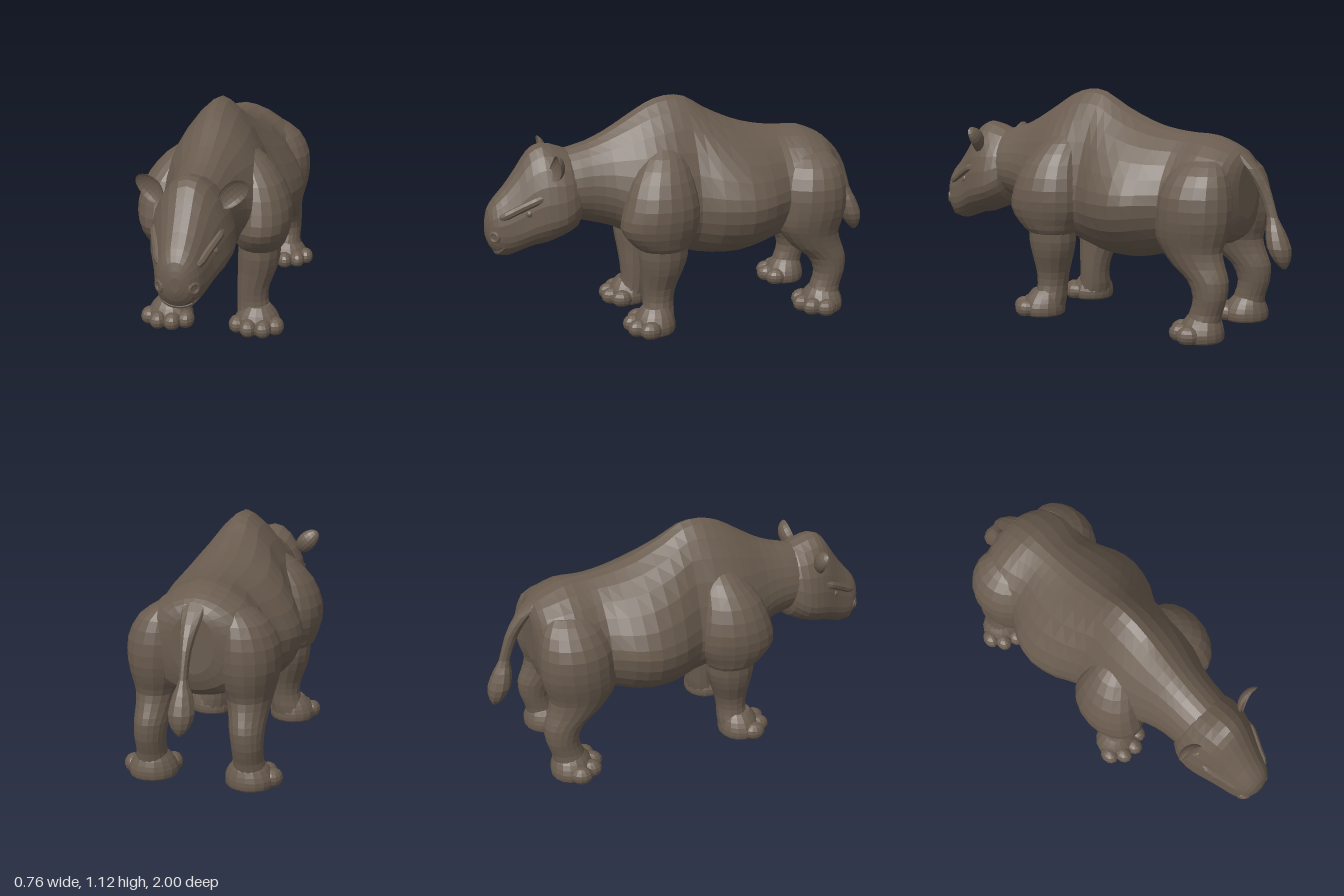
import * as THREE from 'three';

const hide = new THREE.MeshStandardMaterial({ color: 0x6a5c4f });
hide.name = 'brownHide';

function part(parent, name, geometry) {
  const flat = geometry.index ? geometry.toNonIndexed() : geometry;
  flat.computeVertexNormals(); // faceted surface
  const mesh = new THREE.Mesh(flat, hide);
  mesh.name = name;
  parent.add(mesh);
  return mesh;
}

// Doubles the rows of a section table along a Catmull-Rom curve
function refine(rows) {
  const out = [];
  rows.forEach((b, i) => {
    out.push(b);
    const c = rows[i + 1];
    if (!c) return;
    const a = rows[i - 1] || b, d = rows[i + 2] || c;
    out.push(b.map((v, k) => (9 * (v + c[k]) - a[k] - d[k]) / 16));
  });
  return out;
}

// Skins closed rings of points and caps both ends
function skin(rings) {
  const pos = [], idx = [], n = rings[0].length;
  rings.forEach(r => r.forEach(p => pos.push(...p)));
  for (let i = 0; i < rings.length - 1; i++)
    for (let j = 0; j < n; j++) {
      const k = (j + 1) % n, a = i * n + j, b = i * n + k;
      idx.push(a, b, b + n, a, b + n, a + n);
    }
  [0, rings.length - 1].forEach((i, end) => {
    const c = pos.length / 3;
    pos.push(...[0, 1, 2].map(q => rings[i].reduce((s, p) => s + p[q], 0) / n));
    for (let j = 0; j < n; j++) {
      const a = i * n + j, b = i * n + (j + 1) % n;
      idx.push(c, ...(end ? [a, b] : [b, a]));
    }
  });
  const g = new THREE.BufferGeometry();
  g.setAttribute('position', new THREE.Float32BufferAttribute(pos, 3));
  g.setIndex(idx);
  return g;
}

const around = n => Array.from({ length: n }, (_, j) => (j / n) * Math.PI * 2);
const pow = (v, e) => Math.sign(v) * Math.abs(v) ** e;

// Rows from back to front: z, top, bottom, height of widest point, half width, roundness
function loftZ(rows, sides) {
  return skin(refine(rows).map(([z, top, bottom, mid, w, n]) => around(sides).map(a => {
    const c = Math.cos(a), s = Math.sin(a);
    return s > 0
      ? [w * pow(c, 2 / n), mid + (top - mid) * pow(s, 2 / n), z]
      : [w * c, mid + (mid - bottom) * s, z];
  })));
}

// Rows from top to bottom: y, centre x, centre z, half width, half depth
function loftY(rows, sides, side = 1) {
  return skin(refine(rows).map(([y, x, z, rx, rz]) =>
    around(sides).map(a => [side * x + rx * Math.cos(a), y, z + rz * Math.sin(a)])));
}

const TRUNK = [
  [-0.78, 0.81, 0.54, 0.67, 0.10, 2], [-0.755, 0.855, 0.46, 0.64, 0.21, 1.9],
  [-0.70, 0.89, 0.42, 0.62, 0.30, 1.75], [-0.61, 0.925, 0.40, 0.60, 0.335, 1.65],
  [-0.53, 0.93, 0.38, 0.60, 0.315, 1.6], [-0.46, 0.935, 0.36, 0.61, 0.29, 1.6],
  [-0.36, 0.95, 0.335, 0.61, 0.345, 1.5], [-0.24, 0.985, 0.31, 0.60, 0.37, 1.5],
  [-0.10, 1.05, 0.31, 0.60, 0.335, 1.5], [0, 1.11, 0.33, 0.60, 0.28, 1.5],
  [0.10, 1.12, 0.37, 0.60, 0.295, 1.45], [0.20, 1.09, 0.41, 0.62, 0.29, 1.45],
  [0.30, 1.03, 0.45, 0.64, 0.245, 1.6], [0.40, 0.97, 0.50, 0.68, 0.195, 1.7],
  [0.50, 0.925, 0.53, 0.70, 0.17, 1.8], [0.60, 0.90, 0.56, 0.70, 0.16, 1.8],
  [0.66, 0.88, 0.58, 0.70, 0.13, 1.8]];

const HEAD = [
  [0.55, 0.82, 0.55, 0.67, 0.12, 2], [0.57, 0.88, 0.51, 0.65, 0.165, 2],
  [0.64, 0.915, 0.48, 0.61, 0.193, 1.9], [0.72, 0.935, 0.45, 0.59, 0.182, 1.9],
  [0.78, 0.905, 0.44, 0.57, 0.16, 1.9], [0.84, 0.82, 0.42, 0.54, 0.135, 2],
  [0.90, 0.74, 0.40, 0.52, 0.115, 2.1], [0.95, 0.685, 0.41, 0.52, 0.097, 2.2],
  [0.985, 0.635, 0.455, 0.53, 0.064, 2.2], [1, 0.57, 0.50, 0.54, 0.022, 2]];

const SHOULDER = [
  [0.93, 0.11, 0.14, 0.03, 0.05], [0.86, 0.155, 0.155, 0.09, 0.10],
  [0.76, 0.215, 0.18, 0.115, 0.15], [0.64, 0.235, 0.19, 0.14, 0.185],
  [0.54, 0.235, 0.20, 0.138, 0.195], [0.47, 0.23, 0.195, 0.122, 0.16],
  [0.425, 0.222, 0.18, 0.108, 0.125], [0.40, 0.22, 0.18, 0.06, 0.08]];

const FRONT_LEG = [
  [0.47, 0.22, 0.18, 0.105, 0.12], [0.38, 0.217, 0.18, 0.105, 0.122],
  [0.30, 0.208, 0.185, 0.096, 0.105], [0.22, 0.193, 0.195, 0.081, 0.086],
  [0.15, 0.19, 0.20, 0.078, 0.076], [0.09, 0.20, 0.205, 0.086, 0.08],
  [0.04, 0.215, 0.22, 0.10, 0.09]];

// Thigh narrowing to the hock and ankle
const HIND_LEG = [
  [0.82, 0.15, -0.62, 0.06, 0.09], [0.76, 0.185, -0.62, 0.11, 0.14],
  [0.66, 0.20, -0.61, 0.148, 0.178], [0.55, 0.208, -0.607, 0.145, 0.183],
  [0.47, 0.21, -0.598, 0.128, 0.174], [0.41, 0.215, -0.605, 0.107, 0.15],
  [0.34, 0.22, -0.645, 0.09, 0.13], [0.28, 0.225, -0.695, 0.08, 0.10],
  [0.20, 0.23, -0.71, 0.072, 0.08], [0.13, 0.23, -0.69, 0.07, 0.078],
  [0.07, 0.235, -0.675, 0.08, 0.083]];

const TAIL = [
  [0.86, 0, -0.725, 0.06, 0.025], [0.78, 0, -0.80, 0.045, 0.035],
  [0.68, 0, -0.862, 0.025, 0.032], [0.56, 0, -0.905, 0.02, 0.027],
  [0.50, 0, -0.92, 0.042, 0.045], [0.42, 0, -0.942, 0.06, 0.056],
  [0.36, 0, -0.96, 0.042, 0.036], [0.325, 0, -0.97, 0.01, 0.01]];

// Flat-soled pad with four rounded toes
function foot(parent, name, x, z, turn) {
  const group = new THREE.Group();
  group.name = name;
  group.position.set(x, 0, z);
  group.rotation.y = turn;
  part(group, 'footPad', loftY([
    [0.125, 0, -0.025, 0.06, 0.065], [0.09, 0, -0.02, 0.092, 0.088],
    [0.045, 0, -0.015, 0.115, 0.105], [0.01, 0, -0.015, 0.113, 0.104],
    [0, 0, -0.015, 0.105, 0.095]], 16));
  for (const [tx, tz] of [[-0.094, 0.035], [-0.036, 0.078], [0.036, 0.078], [0.094, 0.035]]) {
    const g = new THREE.SphereGeometry(1, 12, 8).scale(0.043, 0.045, 0.054);
    const p = g.attributes.position;
    for (let i = 0; i < p.count; i++) p.setY(i, Math.max(p.getY(i), -0.034));
    part(group, 'toe', g.translate(tx, 0.036, tz));
  }
  parent.add(group);
}

// Broad leaf-shaped ear, its front face pushed in to form a cup
function ear(parent, s) {
  const g = new THREE.SphereGeometry(1, 14, 12);
  const p = g.attributes.position;
  for (let i = 0; i < p.count; i++) {
    const y = p.getY(i), z = p.getZ(i);
    p.setXYZ(i, p.getX(i) * 0.05, y * 0.08, (z > 0 ? -0.45 * z : z) * 0.035 + 0.015 * y * y);
  }
  const mesh = part(parent, 'ear', g);
  mesh.position.set(s * 0.186, 0.85, 0.685);
  mesh.rotation.set(0, s * 0.2, -s * 0.8);
}

// Tube along a curve given as x, y, z points
function tube(parent, name, points, radius) {
  const curve = new THREE.CatmullRomCurve3(points.map(p => new THREE.Vector3(...p)));
  part(parent, name, new THREE.TubeGeometry(curve, 14, radius, 8));
}

export function createModel() {
  const model = new THREE.Group();
  model.name = 'hornlessGrazingAnimal';
  part(model, 'trunk', loftZ(TRUNK, 28));
  part(model, 'tail', loftY(TAIL, 10));

  const head = new THREE.Group();
  head.name = 'head';
  model.add(head);
  part(head, 'skull', loftZ(HEAD, 24));
  // Lower lip below the mouth line
  tube(head, 'lowerLip', [[-0.09, 0.485, 0.90], [-0.08, 0.46, 0.925], [-0.05, 0.432, 0.946],
    [0, 0.423, 0.953], [0.05, 0.432, 0.946], [0.08, 0.46, 0.925], [0.09, 0.485, 0.90]], 0.013);

  for (const s of [-1, 1]) {
    const side = s > 0 ? 'left' : 'right';
    ear(head, s);
    part(head, 'eye', new THREE.SphereGeometry(0.02, 10, 8)).position.set(s * 0.13, 0.63, 0.808);
    // Brow ridge with both ends sunk into the skull
    tube(head, 'brow', [[s * 0.05, 0.60, 0.94], [s * 0.088, 0.612, 0.92], [s * 0.108, 0.64, 0.87],
      [s * 0.132, 0.672, 0.81], [s * 0.145, 0.695, 0.76], [s * 0.12, 0.70, 0.72]], 0.02);
    const nostril = part(head, 'nostril', new THREE.TorusGeometry(0.021, 0.011, 8, 14));
    nostril.position.set(s * 0.075, 0.515, 0.966);
    nostril.rotation.y = s * 0.75;

    part(model, side + 'Shoulder', loftY(SHOULDER, 18, s));
    part(model, side + 'FrontLeg', loftY(FRONT_LEG, 14, s));
    foot(model, side + 'FrontFoot', s * 0.222, 0.248, s * 0.06);
    part(model, side + 'HindLeg', loftY(HIND_LEG, 18, s));
    foot(model, side + 'HindFoot', s * 0.235, -0.655, s * 0.35);
  }
  return model;
}
